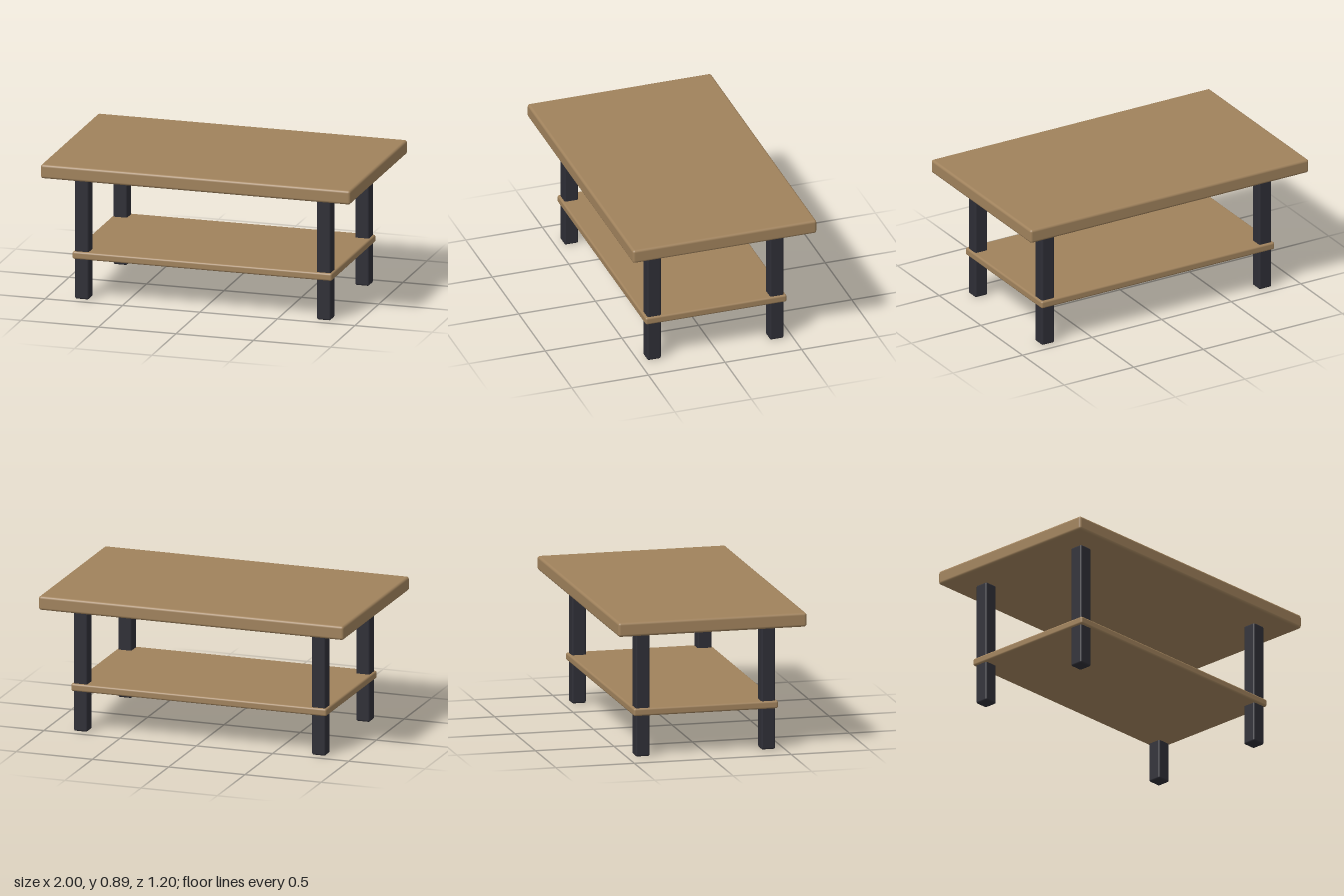
import * as THREE from 'three';
import { RoundedBoxGeometry } from 'three/addons/geometries/RoundedBoxGeometry.js';

export function createModel() {
  const table = new THREE.Group();
  table.name = 'coffeeTable';

  const wood = new THREE.MeshStandardMaterial({ color: 0xa0825c });
  wood.name = 'wood';
  const darkMetal = new THREE.MeshStandardMaterial({ color: 0x2e2e36 });
  darkMetal.name = 'darkMetal';

  // Softly rounded block standing on height y
  function block(name, material, [w, h, d], [x, y, z], radius) {
    const mesh = new THREE.Mesh(new RoundedBoxGeometry(w, h, d, 3, radius), material);
    mesh.name = name;
    mesh.position.set(x, y + h / 2, z);
    table.add(mesh);
  }

  // Top and lower shelf
  block('tableTop', wood, [2, 0.089, 1.2], [0, 0.8, 0], 0.016);
  block('shelf', wood, [1.675, 0.048, 0.92], [0, 0.258, 0], 0.012);

  // Four square legs
  for (const [front, z] of [['front', 0.4], ['back', -0.4]]) {
    for (const [side, x] of [['Left', 0.781], ['Right', -0.781]]) {
      block(`${front}${side}Leg`, darkMetal, [0.089, 0.802, 0.089], [x, 0, z], 0.011);
    }
  }
  return table;
}
